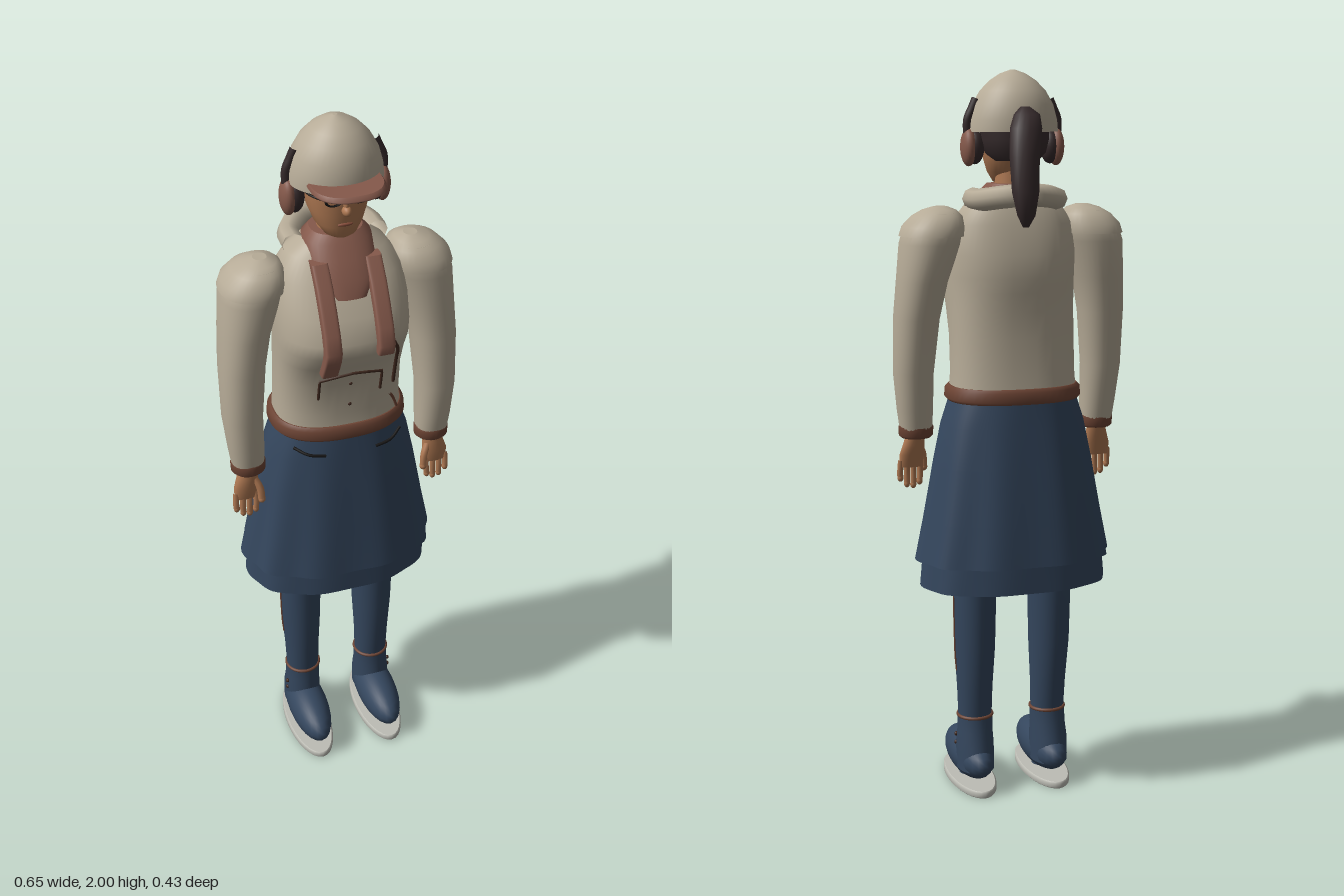
import * as THREE from 'three';

const mat = (name, color, side = THREE.FrontSide) => {
  const m = new THREE.MeshStandardMaterial({ color, side });
  m.name = name;
  return m;
};
const cream = mat('cream cloth', 0xb6ab97, THREE.DoubleSide);
const navy = mat('navy cloth', 0x34465d, THREE.DoubleSide);
const rust = mat('rose brown', 0x85594b);
const leather = mat('leather brown', 0x6d4434);
const trim = mat('dark trim', 0x40291f);
const skin = mat('skin', 0xae7852);
const hair = mat('dark hair', 0x352a2b);
const pale = mat('pale sole', 0xbdbdb5);
const black = mat('black frame', 0x151414);
const lip = mat('lip', 0x8a4f3c);

// Rings from bottom to top, each [y, centre x, centre z, half width, half depth]
function loft(rings, { n = 32, p = 2, open = false, wave = 0, folds = 10 } = {}) {
  const pos = [], idx = [], e = 2 / p;
  const pow = v => Math.sign(v) * Math.abs(v) ** e;
  rings.forEach(([y, cx, cz, rx, rz], i) => {
    const w = wave * (1 - i / (rings.length - 1));
    for (let j = 0; j < n; j++) {
      const t = j / n * Math.PI * 2, k = 1 + w * Math.cos(folds * t);
      pos.push(cx + rx * k * pow(Math.cos(t)), y, cz + rz * k * pow(Math.sin(t)));
    }
  });
  for (let i = 0; i < rings.length - 1; i++) for (let j = 0; j < n; j++) {
    const a = i * n + j, b = i * n + (j + 1) % n;
    idx.push(a, a + n, b, b, a + n, b + n);
  }
  if (!open) [0, rings.length - 1].forEach((i, top) => {
    const [y, cx, cz] = rings[i], c = pos.length / 3;
    pos.push(cx, y, cz);
    for (let j = 0; j < n; j++) pos.push(...pos.slice((i * n + j) * 3, (i * n + j) * 3 + 3));
    for (let j = 0; j < n; j++) {
      const a = c + 1 + j, b = c + 1 + (j + 1) % n;
      idx.push(c, ...(top ? [b, a] : [a, b]));
    }
  });
  const g = new THREE.BufferGeometry();
  g.setAttribute('position', new THREE.Float32BufferAttribute(pos, 3));
  g.setIndex(idx);
  g.computeVertexNormals();
  return g;
}

const torso = [
  [1.13, 0, -0.003, 0.175, 0.128], [1.2, 0, -0.003, 0.17, 0.118], [1.3, 0, 0.005, 0.17, 0.12],
  [1.37, 0, 0.02, 0.172, 0.135], [1.42, 0, 0.033, 0.174, 0.152], [1.46, 0, 0.034, 0.175, 0.155],
  [1.52, 0, 0.022, 0.175, 0.142], [1.6, 0, 0.007, 0.165, 0.108], [1.65, 0, -0.005, 0.13, 0.078],
  [1.69, 0, -0.005, 0.075, 0.055],
];
// Depth of the jacket front at a given point
function frontZ(x, y) {
  let i = 0;
  while (i < torso.length - 2 && torso[i + 1][0] < y) i++;
  const f = (y - torso[i][0]) / (torso[i + 1][0] - torso[i][0]);
  const [, , cz, rx, rz] = torso[i].map((v, k) => v + (torso[i + 1][k] - v) * f);
  return cz + rz * (1 - Math.abs(x / rx) ** 2.5) ** 0.4;
}

export function createModel() {
  const root = new THREE.Group();
  const add = (name, geo, m, x = 0, y = 0, z = 0) => {
    const mesh = new THREE.Mesh(geo, m);
    mesh.name = name;
    mesh.position.set(x, y, z);
    root.add(mesh);
    return mesh;
  };
  const tube = (name, pts, r, m, smooth = true) => {
    const curve = new THREE.CatmullRomCurve3(pts.map(q => new THREE.Vector3(...q)), false, 'catmullrom', smooth ? 0.5 : 0);
    return add(name, new THREE.TubeGeometry(curve, 28, r, 8), m);
  };
  const ball = (name, m, x, y, z, sx, sy, sz) => {
    const b = add(name, new THREE.SphereGeometry(1, 24, 16), m, x, y, z);
    b.scale.set(sx, sy, sz);
    return b;
  };

  // Jacket, belt and skirt
  add('jacket', loft(torso, { p: 2.5, n: 48 }), cream);
  add('belt', loft([[1.125, 0, -0.003, 0.18, 0.133], [1.133, 0, -0.003, 0.187, 0.138],
    [1.157, 0, -0.003, 0.185, 0.136], [1.166, 0, -0.003, 0.176, 0.128]], { p: 2.4, n: 48 }), leather);
  add('skirt', loft([[0.685, 0, -0.005, 0.272, 0.18], [0.8, 0, -0.005, 0.25, 0.167], [0.95, 0, -0.004, 0.223, 0.15],
    [1.06, 0, -0.003, 0.2, 0.136], [1.13, 0, -0.003, 0.176, 0.127]], { p: 2.3, n: 80, open: true, wave: 0.025 }), navy);
  add('skirtHem', loft([[0.61, 0, -0.007, 0.262, 0.167], [0.72, 0, -0.007, 0.252, 0.162]],
    { p: 2.3, n: 80, open: true, wave: 0.012 }), navy);
  const lay = pts => pts.map(([x, y]) => [x, y, frontZ(x, y) + 0.002]);
  tube('pocketTrim', lay([[-0.085, 1.26], [-0.085, 1.325], [-0.04, 1.34], [0, 1.346], [0.04, 1.34], [0.085, 1.325], [0.085, 1.26]]), 0.004, trim, false);
  tube('jacketCord', lay([[0.095, 1.45], [0.118, 1.4], [0.126, 1.35], [0.128, 1.26]]), 0.005, trim);
  tube('beltCord', lay([[0.118, 1.225], [0.132, 1.2], [0.145, 1.165]]), 0.004, leather);
  for (const y of [1.23, 1.3]) ball('button', trim, 0, y, frontZ(0, y), 0.005, 0.005, 0.004);
  tube('hoodRoll', [[-0.11, 1.665, 0.0], [-0.105, 1.665, -0.06], [-0.06, 1.675, -0.12], [0, 1.68, -0.138],
    [0.06, 1.675, -0.12], [0.105, 1.665, -0.06], [0.11, 1.665, 0.0]], 0.03, cream);

  // Scarf with two hanging tails
  add('scarfCollar', loft([[1.565, 0, 0.13, 0.04, 0.012], [1.61, 0, 0.08, 0.082, 0.045], [1.65, 0, 0.025, 0.092, 0.072],
    [1.685, 0, 0, 0.088, 0.073], [1.705, 0, -0.003, 0.068, 0.058]], { p: 2.3 }), rust);
  const drape = [[1.365, 0.157], [1.4, 0.175], [1.425, 0.187], [1.455, 0.195], [1.5, 0.178], [1.55, 0.15], [1.6, 0.118], [1.65, 0.075]];
  for (const s of [-1, 1]) add('scarfTail',
    loft(drape.slice(s > 0 ? 2 : 0).map(([y, z]) => [y, s * 0.07, z, 0.022, 0.017]), { p: 5 }), rust);

  // Head and face
  add('neck', new THREE.CylinderGeometry(0.045, 0.05, 0.1, 24), skin, 0, 1.71, -0.005);
  add('head', loft([[1.697, 0, 0.035, 0.022, 0.025], [1.708, 0, 0.03, 0.042, 0.042], [1.735, 0, 0.015, 0.062, 0.062],
    [1.77, 0, 0.005, 0.075, 0.077], [1.81, 0, 0, 0.082, 0.084], [1.87, 0, 0, 0.083, 0.086]], { p: 2.2 }), skin);
  ball('nose', skin, 0, 1.786, 0.086, 0.012, 0.014, 0.018);
  ball('noseBridge', skin, 0, 1.805, 0.082, 0.008, 0.025, 0.012);
  ball('mouth', lip, 0, 1.744, 0.077, 0.02, 0.005, 0.005);
  for (const s of [-1, 1]) {
    const lens = add('glassesRim', new THREE.TorusGeometry(0.021, 0.0035, 6, 24), black, s * 0.033, 1.82, 0.09);
    lens.scale.y = 0.65;
    ball('eye', black, s * 0.033, 1.82, 0.077, 0.01, 0.006, 0.004);
    tube('glassesArm', [[s * 0.053, 1.823, 0.089], [s * 0.08, 1.823, 0.05], [s * 0.09, 1.823, 0]], 0.003, black);
  }
  add('glassesBridge', new THREE.BoxGeometry(0.026, 0.004, 0.004), black, 0, 1.824, 0.096);

  // Hair with a ponytail
  add('hair', loft([[1.765, 0, -0.035, 0.06, 0.05], [1.785, 0, -0.03, 0.082, 0.068], [1.82, 0, -0.025, 0.092, 0.078],
    [1.88, 0, -0.022, 0.094, 0.08]]), hair);
  add('ponytail', loft([[1.6, 0.02, -0.178, 0.008, 0.008], [1.63, 0.022, -0.188, 0.024, 0.02], [1.69, 0.024, -0.187, 0.036, 0.029],
    [1.78, 0.02, -0.167, 0.04, 0.032], [1.85, 0.008, -0.142, 0.043, 0.033], [1.885, 0, -0.125, 0.035, 0.026],
    [1.905, 0, -0.11, 0.012, 0.01]], { n: 16 }), hair);

  // Helmet, visor and ear muffs
  add('helmet', loft([[1.84, 0, -0.005, 0.122, 0.11], [1.87, 0, -0.005, 0.119, 0.11], [1.91, 0, -0.006, 0.108, 0.103],
    [1.945, 0, -0.006, 0.088, 0.086], [1.972, 0, -0.006, 0.062, 0.061], [1.99, 0, -0.006, 0.034, 0.034],
    [2, 0, -0.006, 0.006, 0.006]], { n: 40 }), cream);
  add('visor', loft([[1.853, 0, 0.078, 0.092, 0.094], [1.858, 0, 0.078, 0.095, 0.097], [1.866, 0, 0.076, 0.09, 0.088]], { p: 2.5 }), rust);
  for (const s of [-1, 1]) {
    ball('earCup', hair, s * 0.105, 1.8, -0.005, 0.025, 0.045, 0.032);
    ball('earMuff', rust, s * 0.122, 1.8, -0.005, 0.021, 0.05, 0.034);
    tube('earMuffArm', [[s * 0.125, 1.83, -0.005], [s * 0.125, 1.87, -0.007], [s * 0.113, 1.9, -0.008], [s * 0.102, 1.925, -0.008]], 0.012, hair);
  }

  for (const s of [-1, 1]) {
    // Sleeve, shoulder cap and cuff
    add('sleeve', loft([[1.04, s * 0.262, 0.042, 0.044, 0.042], [1.1, s * 0.265, 0.04, 0.049, 0.05], [1.2, s * 0.27, 0.033, 0.054, 0.061],
      [1.35, s * 0.263, 0.02, 0.061, 0.073], [1.45, s * 0.25, 0.008, 0.067, 0.085], [1.55, s * 0.23, 0, 0.08, 0.092],
      [1.6, s * 0.217, 0, 0.078, 0.085], [1.63, s * 0.206, 0, 0.055, 0.06]], { p: 2.2 }), cream);
    add('shoulderCap', loft([[1.57, s * 0.224, 0, 0.086, 0.094], [1.595, s * 0.218, 0, 0.084, 0.09], [1.622, s * 0.209, 0, 0.067, 0.072],
      [1.638, s * 0.203, 0, 0.045, 0.047], [1.647, s * 0.2, 0, 0.018, 0.018]], { p: 2.2 }), cream);
    add('cuff', loft([[1.02, s * 0.262, 0.043, 0.04, 0.037], [1.027, s * 0.262, 0.043, 0.047, 0.044],
      [1.05, s * 0.262, 0.043, 0.048, 0.045], [1.058, s * 0.262, 0.042, 0.044, 0.042]], { n: 24 }), leather);
    // Hand with four fingers and a thumb
    add('palm', loft([[0.935, s * 0.274, 0.055, 0.032, 0.011], [0.97, s * 0.272, 0.053, 0.035, 0.017],
      [1.0, s * 0.267, 0.048, 0.03, 0.02], [1.035, s * 0.263, 0.043, 0.024, 0.022]], { n: 20 }), skin);
    [0.905, 0.888, 0.884, 0.893].forEach((tip, k) => {
      const x = 0.302 - k * 0.018;
      tube('finger', [[s * x, 0.955, 0.055], [s * (x + 0.002 - k * 0.001), 0.92, 0.059], [s * (x + 0.001), tip, 0.06]], 0.0085, skin);
      ball('fingerTip', skin, s * (x + 0.001), tip, 0.06, 0.0085, 0.012, 0.0085);
    });
    tube('thumb', [[s * 0.25, 0.995, 0.055], [s * 0.237, 0.965, 0.066], [s * 0.234, 0.93, 0.07]], 0.01, skin);
    ball('thumbTip', skin, s * 0.234, 0.93, 0.07, 0.01, 0.012, 0.01);

    // Trouser leg with side stripe
    add('leg', loft([[0.2, s * 0.108, 0.008, 0.047, 0.046], [0.3, s * 0.109, 0.006, 0.05, 0.054], [0.42, s * 0.11, 0.002, 0.057, 0.065],
      [0.62, s * 0.11, 0, 0.061, 0.07], [0.9, s * 0.1, 0, 0.075, 0.08]]), navy);
    tube('legStripe', [[s * 0.162, 0.35, 0.003], [s * 0.167, 0.42, 0.002], [s * 0.171, 0.62, 0]], 0.003, leather);
    const band = add('ankleBand', new THREE.TorusGeometry(0.048, 0.005, 8, 32), leather, s * 0.108, 0.215, 0.008);
    band.rotation.x = Math.PI / 2;

    // Boot and flat sole plate
    add('bootShaft', loft([[0.06, s * 0.11, 0.0, 0.052, 0.068], [0.13, s * 0.11, 0.004, 0.053, 0.062],
      [0.17, s * 0.109, 0.006, 0.05, 0.052], [0.212, s * 0.108, 0.008, 0.05, 0.05]]), navy);
    ball('bootFoot', navy, s * 0.11, 0.082, 0.061, 0.058, 0.062, 0.152);
    for (const y of [0.13, 0.155]) ball('bootStud', trim, s * 0.16, y, 0.02, 0.006, 0.006, 0.006);
    add('solePlate', loft([[0, s * 0.11, 0.057, 0.06, 0.156], [0.004, s * 0.11, 0.057, 0.064, 0.16],
      [0.016, s * 0.11, 0.057, 0.064, 0.16], [0.02, s * 0.11, 0.057, 0.06, 0.156]]), pale);
    add('solePeg', new THREE.CylinderGeometry(0.03, 0.03, 0.02, 16), navy, s * 0.11, 0.02, 0.057);
    // Skirt pocket seam
    tube('skirtPocketSeam', [[s * 0.15, 1.105, 0.098], [s * 0.115, 1.09, 0.123], [s * 0.07, 1.082, 0.131]], 0.004, black);
  }
  return root;
}
